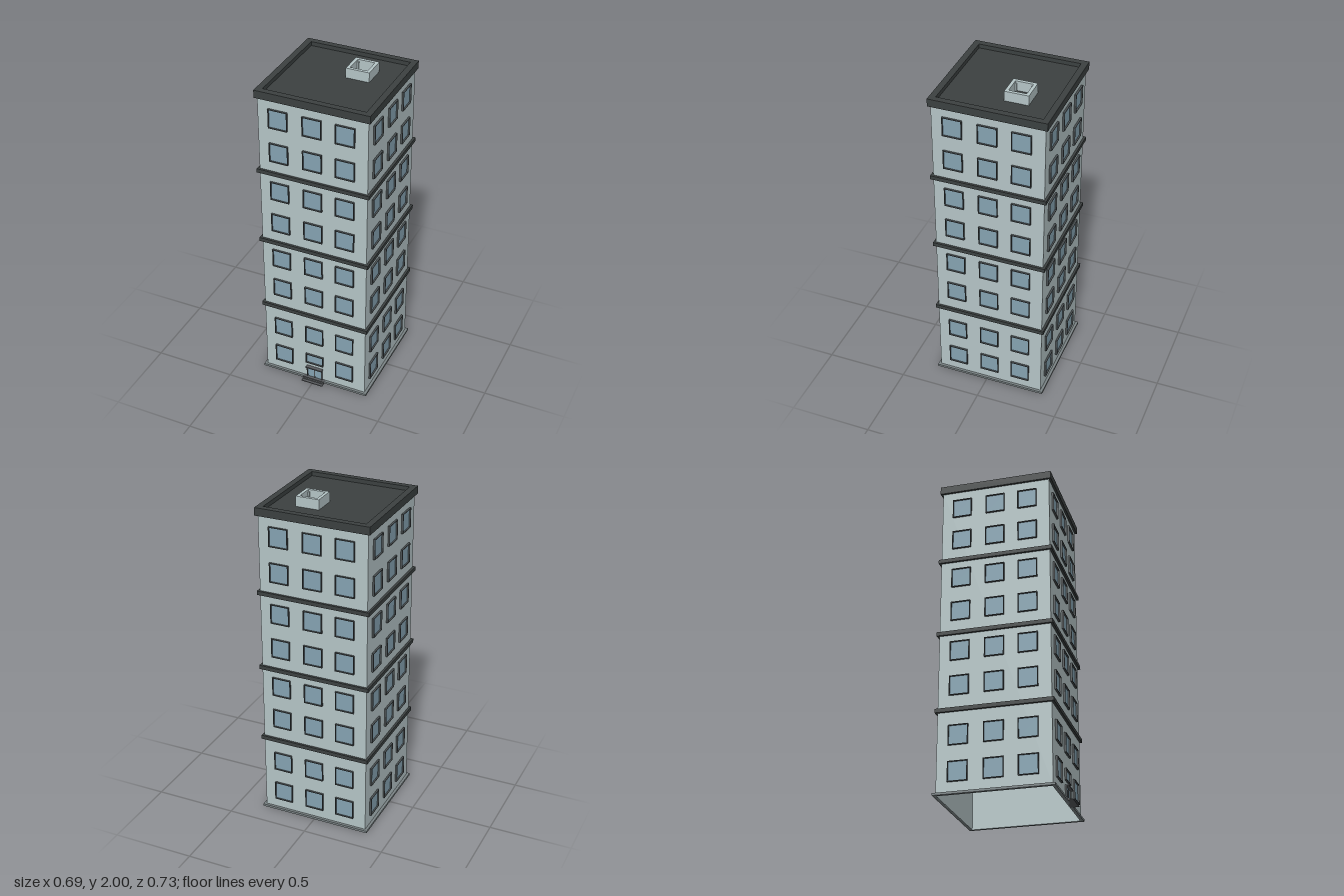
import * as THREE from 'three';

const mat = (name, color) => new THREE.MeshStandardMaterial({ name, color });

export function createModel() {
  const wall = mat('paleWall', 0xb6c6c8);
  const dark = mat('darkTrim', 0x3c4141);
  const glass = mat('glass', 0x86a4b3);
  const frame = mat('frameGrey', 0x4a5052);
  const stone = mat('stepGrey', 0x5a5d60);
  const plinth = mat('plinthGrey', 0x7c8587);

  const model = new THREE.Group();
  model.name = 'apartmentTower';
  const tower = new THREE.Group();
  tower.name = 'tower';
  tower.position.z = -0.018;
  model.add(tower);

  const HALF = 0.331;

  const add = (parent, name, geometry, material, x = 0, y = 0, z = 0) => {
    const mesh = new THREE.Mesh(geometry, material);
    mesh.name = name;
    mesh.position.set(x, y, z);
    parent.add(mesh);
    return mesh;
  };
  const box = (parent, name, material, w, h, d, x, y, z) =>
    add(parent, name, new THREE.BoxGeometry(w, h, d), material, x, y, z);

  // Rectangular ring of border t, extruded along +z
  const ringGeometry = (w, h, t, depth) => {
    const rect = (p, a, b) =>
      p.moveTo(-a, -b).lineTo(a, -b).lineTo(a, b).lineTo(-a, b).closePath();
    const shape = rect(new THREE.Shape(), w / 2, h / 2);
    shape.holes.push(rect(new THREE.Path(), w / 2 - t, h / 2 - t));
    return new THREE.ExtrudeGeometry(shape, { depth, bevelEnabled: false });
  };
  // Horizontal square ring from y0 to y1
  const ring = (name, material, half, t, y0, y1, x = 0, z = 0) => {
    const g = ringGeometry(half * 2, half * 2, t, y1 - y0).rotateX(-Math.PI / 2);
    return add(tower, name, g, material, x, y0, z);
  };

  // Hollow shell, open underneath
  ring('walls', wall, HALF, 0.004, 0, 1.93);
  ring('plinth', plinth, 0.347, 0.018, 0, 0.014);
  for (const y of [0.497, 0.974, 1.45]) ring('floorBand', dark, 0.345, 0.016, y - 0.012, y + 0.012);

  // Roof with parapet
  box(tower, 'roofDeck', dark, 0.66, 0.022, 0.66, 0, 1.929, 0);
  ring('parapet', dark, 0.345, 0.037, 1.918, 1.965);

  // Open roof vent with corner posts
  const vx = 0.104, vz = -0.105;
  ring('roofVent', wall, 0.071, 0.019, 1.938, 2, vx, vz);
  for (const sx of [-1, 1]) for (const sz of [-1, 1])
    box(tower, 'ventPost', wall, 0.009, 0.05, 0.009, vx + sx * 0.0475, 1.963, vz + sz * 0.0475);

  // Window: thin projecting surround with recessed glass
  const makeWindow = (h) => {
    const surround = ringGeometry(0.116, h, 0.004, 0.012);
    const pane = new THREE.PlaneGeometry(0.11, h - 0.006);
    return (parent, x, y) => {
      const g = new THREE.Group();
      g.name = 'window';
      g.position.set(x, y, HALF);
      add(g, 'windowFrame', surround, frame);
      add(g, 'windowGlass', pane, glass, 0, 0, 0.002);
      parent.add(g);
    };
  };
  const fullWindow = makeWindow(0.119);
  const shortWindow = makeWindow(0.07);

  const rows = [0.133, 0.346, 0.645, 0.86, 1.114, 1.332, 1.588, 1.804];
  const columns = [-0.207, -0.002, 0.196];
  for (let side = 0; side < 4; side++) {
    const facade = new THREE.Group();
    facade.name = ['frontFacade', 'leftFacade', 'backFacade', 'rightFacade'][side];
    facade.rotation.y = side * Math.PI / 2;
    tower.add(facade);
    rows.forEach((y, r) => columns.forEach((x, c) => {
      if (side === 0 && r === 0 && c === 1) shortWindow(facade, x, 0.157);
      else fullWindow(facade, x, y);
    }));
  }

  // Entrance: double glass door, surround, canopy and steps
  const entrance = new THREE.Group();
  entrance.name = 'entrance';
  entrance.position.set(-0.002, 0, 0.313);
  model.add(entrance);
  for (const s of [-1, 1]) {
    box(entrance, 'doorGlass', glass, 0.042, 0.074, 0.004, s * 0.024, 0.05, 0.002);
    box(entrance, 'doorPost', frame, 0.006, 0.08, 0.01, s * 0.049, 0.05, 0.005);
  }
  box(entrance, 'doorMullion', frame, 0.006, 0.08, 0.007, 0, 0.05, 0.0035);
  box(entrance, 'doorCanopy', stone, 0.106, 0.008, 0.022, 0, 0.092, 0.011);
  [0.05, 0.033, 0.023].forEach((d, i) =>
    box(entrance, 'step', stone, 0.14, 0.005, d, 0, 0.0025 + i * 0.005, d / 2));

  return model;
}
